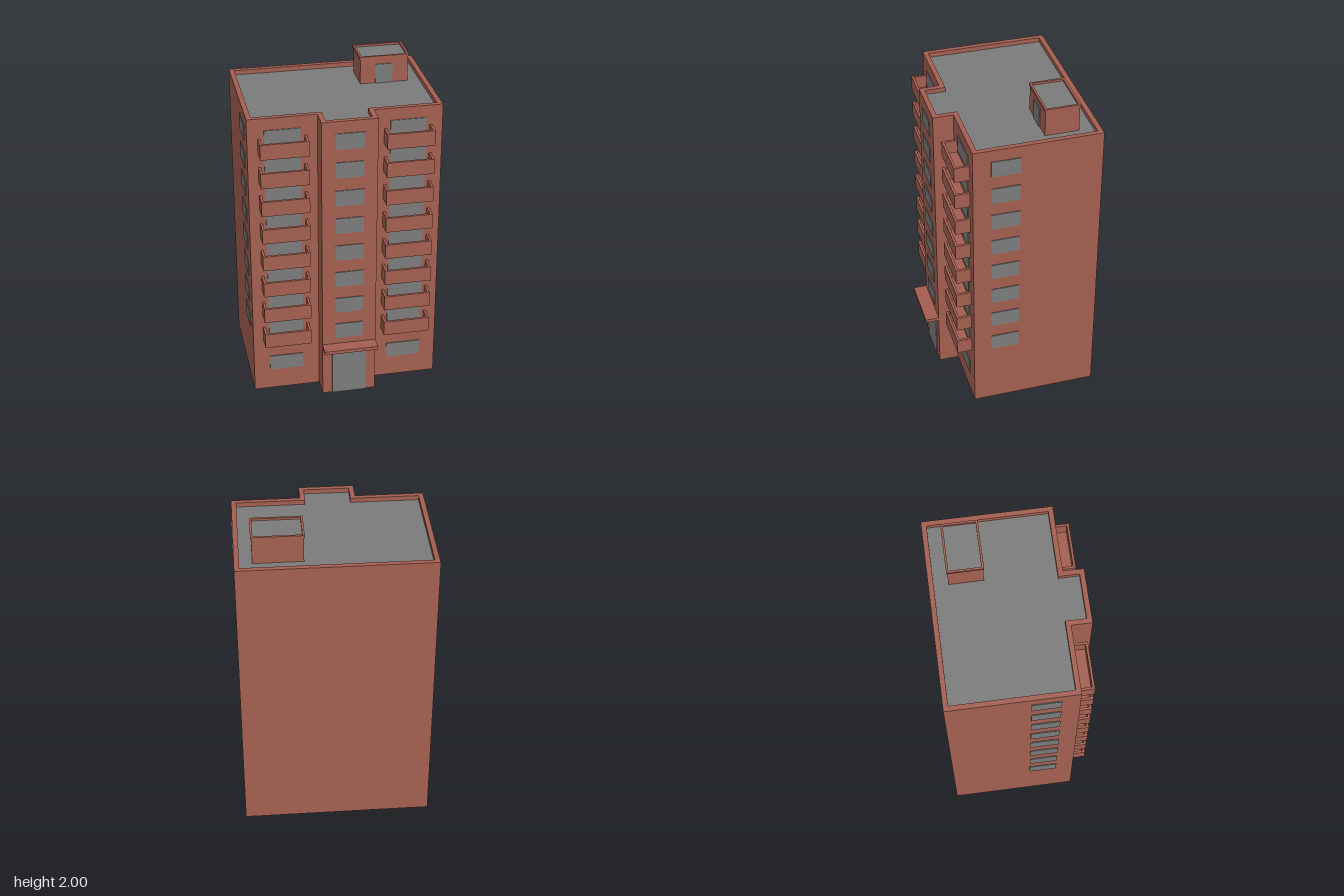
import * as THREE from 'three';

const brick = new THREE.MeshStandardMaterial({ color: 0xa45f51 });
brick.name = 'brick';
const grey = new THREE.MeshStandardMaterial({ color: 0x7c7c7c });
grey.name = 'grey';

const WALL_TOP = 1.855, ROOF = 1.825, STEP = 0.1823, FLOORS = 8;

export function createModel() {
  const model = new THREE.Group();
  model.name = 'apartmentBlock';

  const add = (name, geometry, material) => {
    const mesh = new THREE.Mesh(geometry, material);
    mesh.name = name;
    model.add(mesh);
    return mesh;
  };

  // Box given by its min and max on each axis
  const box = (name, material, x0, x1, y0, y1, z0, z1) => {
    const mesh = add(name, new THREE.BoxGeometry(x1 - x0, y1 - y0, z1 - z0), material);
    mesh.position.set((x0 + x1) / 2, (y0 + y1) / 2, (z0 + z1) / 2);
    return mesh;
  };

  // T-shaped plan of the block, moved inwards by d
  const plan = (d) => [
    [-0.576 + d, 0.485 - d], [-0.576 + d, -0.28 + d],
    [-0.166 + d, -0.28 + d], [-0.166 + d, -0.402 + d],
    [0.166 - d, -0.402 + d], [0.166 - d, -0.28 + d],
    [0.576 - d, -0.28 + d], [0.576 - d, 0.485 - d],
  ];
  const rect = (x0, x1, z0, z1) => [[x0, -z1], [x1, -z1], [x1, -z0], [x0, -z0]];

  // Vertical prism over a plan, with an optional hole
  const prism = (name, material, outer, y0, y1, hole) => {
    const points = (list) => list.map(([x, y]) => new THREE.Vector2(x, y));
    const shape = new THREE.Shape(points(outer));
    if (hole) shape.holes.push(new THREE.Path(points(hole)));
    const geometry = new THREE.ExtrudeGeometry(shape, { depth: y1 - y0, bevelEnabled: false });
    geometry.rotateX(-Math.PI / 2).translate(0, y0, 0);
    return add(name, geometry, material);
  };

  // Main block, parapet and flat roof
  prism('walls', brick, plan(0), 0, ROOF);
  prism('parapet', brick, plan(0), ROOF, WALL_TOP, plan(0.03));
  prism('roof', grey, plan(0.03), ROOF, ROOF + 0.002);

  // Entrance door and canopy
  box('entranceDoor', grey, -0.106, 0.106, 0, 0.29, 0.4, 0.408);
  box('canopy', brick, -0.166, 0.166, 0.338, 0.36, 0.4, 0.485);

  // Windows on every upper floor, with balconies on both wings
  for (let i = 0; i < FLOORS; i++) {
    const y = 0.404 + i * STEP;
    box('bayWindow', grey, -0.085, 0.085, y, y + 0.1, 0.4, 0.407);
    for (const s of [-1, 1]) {
      const mid = s * 0.371;
      box('wingWindow', grey, mid - 0.106, mid + 0.106, y, y + 0.1, 0.278, 0.285);
      box('sideWindow', grey, s * 0.577 - 0.004, s * 0.577 + 0.004, y, y + 0.1, 0.002, 0.173);

      // Balcony: floor slab, front panel and two ends
      const b = 0.36 + i * STEP, t = b + 0.095;
      const x0 = mid - 0.143, x1 = mid + 0.143;
      box('balconyFloor', brick, x0, x1, b, b + 0.015, 0.28, 0.37);
      box('balconyFront', brick, x0, x1, b + 0.015, t, 0.355, 0.37);
      box('balconyEnd', brick, x0, x0 + 0.015, b + 0.015, t, 0.28, 0.355);
      box('balconyEnd', brick, x1 - 0.015, x1, b + 0.015, t, 0.28, 0.355);
    }
  }

  // Ground floor windows
  for (const s of [-1, 1]) {
    const mid = s * 0.371;
    box('groundWindow', grey, mid - 0.106, mid + 0.106, 0.138, 0.238, 0.278, 0.285);
  }

  // Stair house on the roof
  box('stairHouse', brick, 0.18, 0.473, ROOF, 1.985, -0.371, -0.169);
  prism('stairHouseRim', brick, rect(0.175, 0.478, -0.376, -0.164), 1.985, 2,
    rect(0.188, 0.465, -0.363, -0.177));
  prism('stairHouseRoof', grey, rect(0.188, 0.465, -0.363, -0.177), 1.985, 1.987);
  box('stairHouseDoor', grey, 0.273, 0.379, ROOF, 1.948, -0.171, -0.163);

  return model;
}
